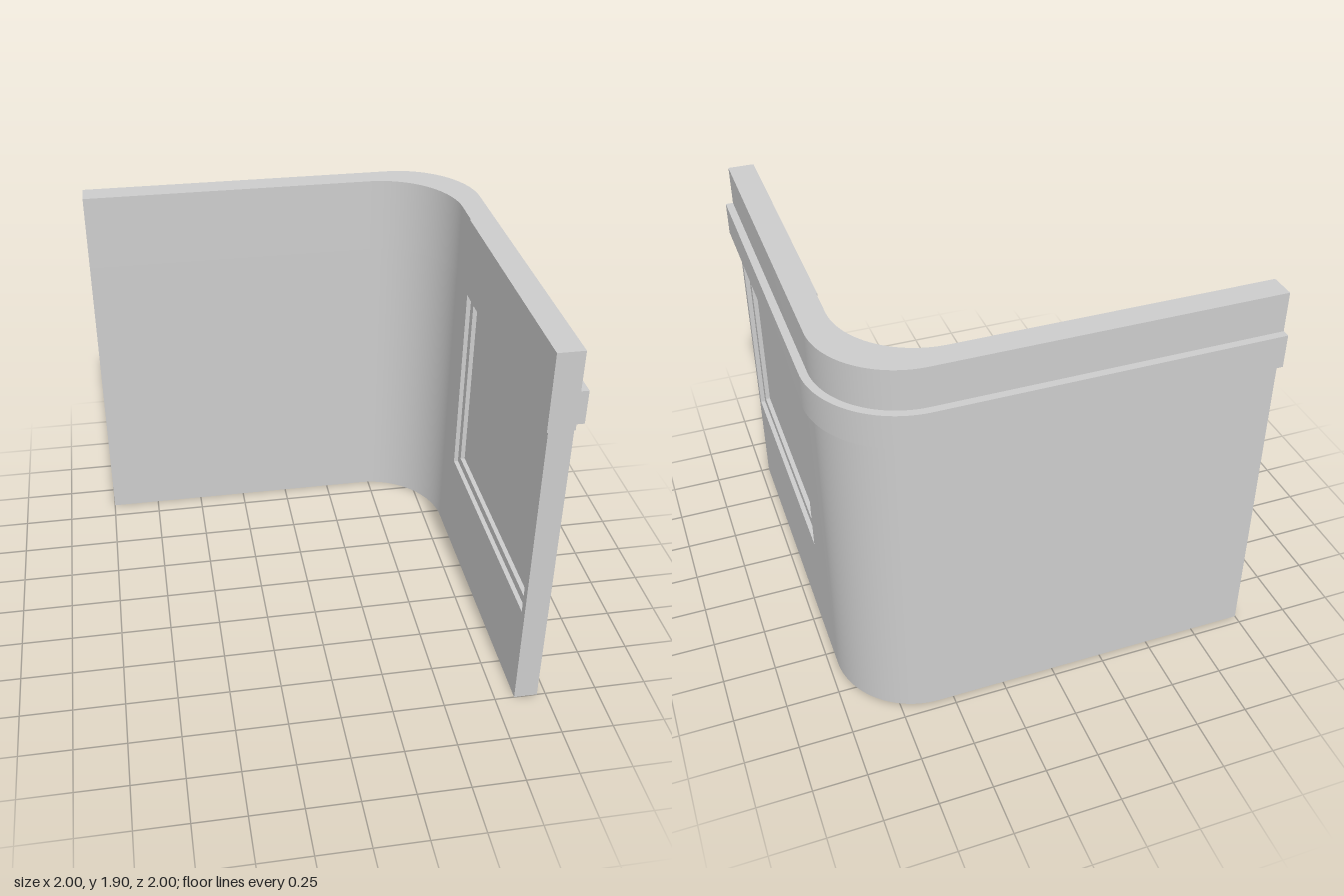
import * as THREE from 'three';
import { toCreasedNormals } from 'three/addons/utils/BufferGeometryUtils.js';

const plaster = new THREE.MeshStandardMaterial({ color: 0xcccccc });
plaster.name = 'plasterGrey';

function part(name, shape, depth, orient) {
  let geo = new THREE.ExtrudeGeometry(shape, { depth, bevelEnabled: false, curveSegments: 24 });
  orient(geo);
  geo = toCreasedNormals(geo, 0.5);
  const mesh = new THREE.Mesh(geo, plaster);
  mesh.name = name;
  return mesh;
}

// L-shaped plan with a rounded corner; plan y is -z
function plan({ outer, outerR, inner, innerR, end, legInner = inner }) {
  const s = new THREE.Shape();
  const oc = outer - outerR, ic = inner - innerR;
  s.moveTo(-1, outer);
  s.lineTo(oc, outer);
  s.absarc(oc, oc, outerR, Math.PI / 2, 0, true);
  s.lineTo(outer, end);
  s.lineTo(legInner, end);
  if (legInner !== inner) {
    s.lineTo(legInner, 0.3);
    s.lineTo(inner, 0.3);
  }
  s.lineTo(inner, ic);
  s.absarc(ic, ic, innerR, 0, Math.PI / 2, false);
  s.lineTo(-1, inner);
  s.closePath();
  return s;
}

function course(name, y0, y1, options) {
  return part(name, plan(options), y1 - y0, (g) => g.rotateX(-Math.PI / 2).translate(0, y0, 0));
}

// Vertical slab of the side wall with an optional rectangular opening
function slab(name, x0, x1, hole) {
  const rect = (target, a0, a1, y0, y1) => {
    target.moveTo(a0, y0);
    target.lineTo(a1, y0);
    target.lineTo(a1, y1);
    target.lineTo(a0, y1);
    target.closePath();
    return target;
  };
  const s = rect(new THREE.Shape(), -1, 0.3, 0, 1.525);
  if (hole) s.holes.push(rect(new THREE.Path(), ...hole));
  return part(name, s, x1 - x0, (g) => g.rotateY(Math.PI / 2).translate(x0, 0, 0));
}

export function createModel() {
  const group = new THREE.Group();
  group.name = 'roundedCornerWall';

  // Lower wall round the corner, thicker upper wall and projecting band
  group.add(course('lowerWall', 0, 1.525, { outer: 0.958, outerR: 0.388, inner: 0.845, innerR: 0.39, end: 0.3 }));
  group.add(course('upperWall', 1.525, 1.905,
    { outer: 0.964, outerR: 0.394, inner: 0.845, innerR: 0.39, end: -1, legInner: 0.84 }));
  group.add(course('band', 1.555, 1.715, { outer: 1, outerR: 0.43, inner: 0.964, innerR: 0.394, end: -1 }));

  // Side wall with a stepped, recessed panel on both faces
  const opening = [-0.96, 0.265, 0.51, 1.522];
  const frame = [-0.915, 0.22, 0.555, 1.482];
  group.add(slab('outerFace', 0.936, 0.958, opening));
  group.add(slab('outerPanelFrame', 0.914, 0.936, frame));
  group.add(slab('panel', 0.889, 0.914));
  group.add(slab('innerPanelFrame', 0.867, 0.889, frame));
  group.add(slab('innerFace', 0.845, 0.867, opening));

  return group;
}
